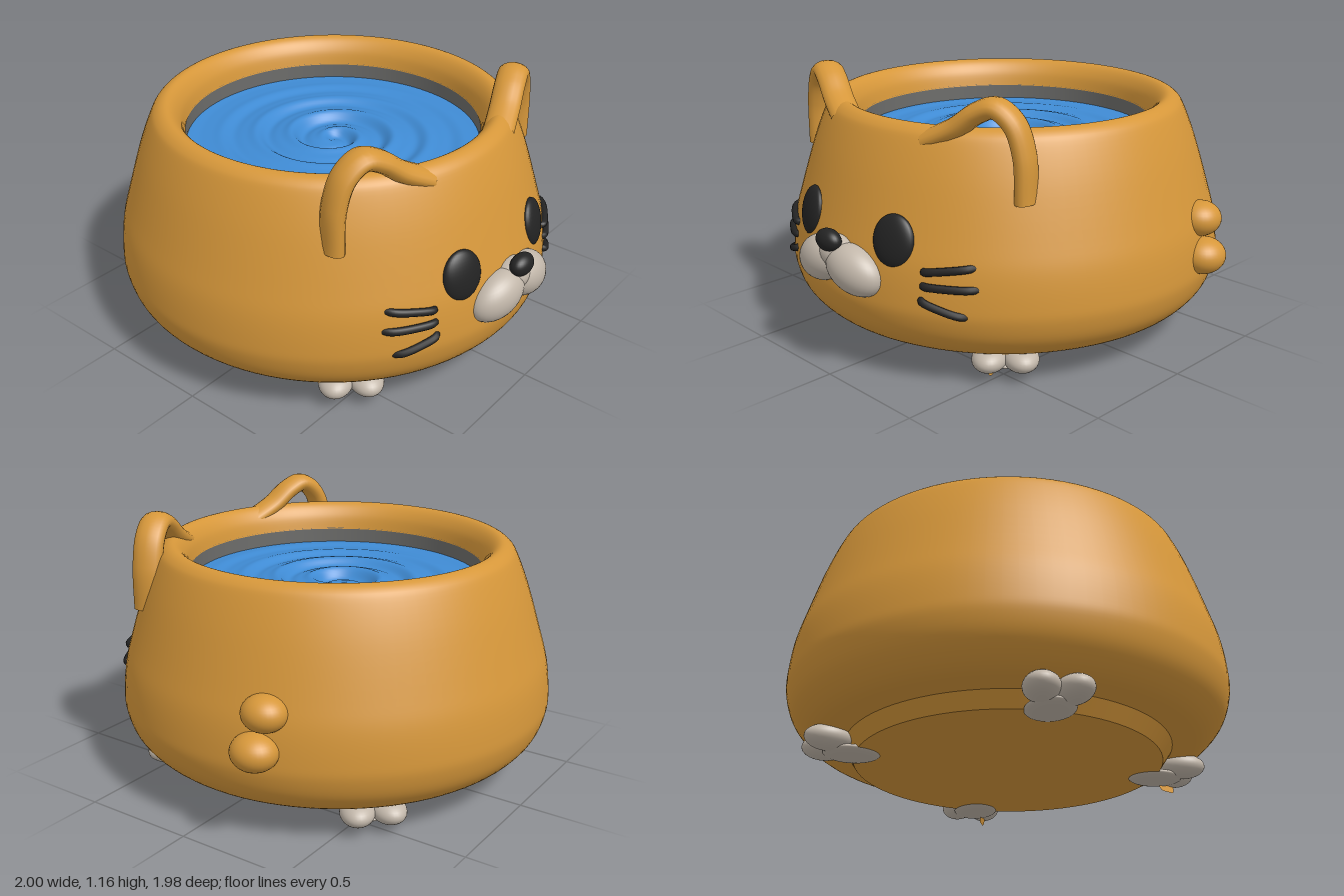
import * as THREE from 'three';
import { mergeVertices } from 'three/addons/utils/BufferGeometryUtils.js';

const mat = (name, color, side = THREE.FrontSide) =>
  Object.assign(new THREE.MeshStandardMaterial({ color, side }), { name });

// Axis of the bowl
const CX = -0.04, CZ = 0.03;

// Outer wall from the underside up to the rim (radius, height)
const WALL = [[0.62, 0.085], [0.76, 0.087], [0.85, 0.115], [0.925, 0.19], [0.958, 0.28], [0.96, 0.36],
  [0.945, 0.48], [0.912, 0.6], [0.85, 0.8], [0.795, 0.94], [0.765, 0.985]];
// Rim roll and inside lip
const RIM = [[0.725, 1.002], [0.69, 0.985], [0.66, 0.94], [0.645, 0.88]];

// Point on the wall at a given height and sideways offset, pushed out by lift
function onWall(y, dz, lift = 0) {
  let r = WALL[0][0];
  for (let i = 1; i < WALL.length; i++) {
    const [r0, y0] = WALL[i - 1], [r1, y1] = WALL[i];
    if (y >= y0 && y <= y1) r = r0 + (r1 - r0) * (y - y0) / (y1 - y0);
  }
  r += lift;
  return new THREE.Vector3(Math.sqrt(r * r - dz * dz), y, dz);
}

export function createModel() {
  const orange = mat('orange', 0xd6973a);
  const cream = mat('paleGrey', 0xc2b7aa);
  const black = mat('black', 0x232323);
  const pink = mat('pink', 0xd39484, THREE.DoubleSide);
  const blue = mat('waterBlue', 0x3f8bd4);
  const steel = mat('steelGrey', 0x6c6c6a);

  const model = new THREE.Group();
  model.name = 'catBowl';
  const bowl = new THREE.Group();
  bowl.name = 'bowl';
  bowl.position.set(CX, 0, CZ);
  model.add(bowl);

  const add = (name, geo, material, parent = bowl) => {
    const m = new THREE.Mesh(geo, material);
    m.name = name;
    parent.add(m);
    return m;
  };
  const blob = (name, material, pos, radii, parent = bowl) => {
    const m = add(name, new THREE.SphereGeometry(1, 32, 20), material, parent);
    m.position.set(...pos);
    m.scale.set(...radii);
    return m;
  };
  const v2 = (p) => new THREE.Vector2(p[0], p[1]);

  // Body shell with rolled rim
  const profile = new THREE.SplineCurve([...WALL, ...RIM].map(v2)).getPoints(70);
  add('body', new THREE.LatheGeometry(profile, 96), orange);

  // Steel liner showing above the water
  add('liner', new THREE.LatheGeometry([[0.646, 0.885], [0.646, 0.77]].map(v2), 96), steel);

  // Foot under the body
  add('base', new THREE.CylinderGeometry(0.71, 0.66, 0.075, 96), orange).position.y = 0.0575;

  // Water with a spiral swirl
  let water = new THREE.RingGeometry(0.0005, 0.65, 120, 70).rotateX(-Math.PI / 2);
  water.deleteAttribute('uv');
  water.deleteAttribute('normal');
  water = mergeVertices(water, 1e-6);
  const wp = water.attributes.position;
  for (let i = 0; i < wp.count; i++) {
    const x = wp.getX(i), z = wp.getZ(i), r = Math.hypot(x, z);
    const phase = r / 0.155 * Math.PI * 2 - Math.atan2(z, x) + 2.2;
    const fade = Math.min(1, r / 0.08) * Math.max(0, 1 - r / 0.66);
    const swirl = 0.022 * fade * (Math.sin(phase) + 0.3 * Math.sin(2 * phase));
    wp.setY(i, 0.815 + swirl - 0.03 * Math.exp(-r * r / 0.03));
  }
  water.computeVertexNormals();
  add('water', water, blue);

  // Ears: backing, thick rounded border and inner skin
  const border = [[-0.155, 0.74], [-0.148, 0.92], [-0.105, 1.04], [-0.03, 1.093],
    [0.045, 1.068], [0.14, 1.0], [0.26, 0.94]];
  for (const s of [1, -1]) {
    const ear = new THREE.Group();
    ear.name = s > 0 ? 'leftSideEar' : 'rightSideEar';
    ear.position.set(0.59, 0, s * 0.5);
    ear.rotation.y = Math.PI / 2 - s * 0.37;
    bowl.add(ear);
    const curve = new THREE.CatmullRomCurve3(border.map(([u, y]) => new THREE.Vector3(u * s, y, 0)));
    const shape = new THREE.Shape([...curve.getPoints(40).map(v2), new THREE.Vector2(0.2 * s, 0.8)]);
    add('earBorder', new THREE.TubeGeometry(curve, 48, 0.043, 16).scale(1, 1, 1.55), orange, ear);
    add('earBack', new THREE.ExtrudeGeometry(shape, {
      depth: 0.05, bevelSize: 0.015, bevelThickness: 0.02, bevelSegments: 4,
    }).translate(0, 0, -0.055), orange, ear);
    add('earInner', new THREE.ShapeGeometry(shape).translate(0, 0, 0.03), pink, ear);
  }

  for (const s of [1, -1]) {
    // Eye
    const p = onWall(0.575, 0.265 * s, -0.005);
    const eye = blob('eye', black, p.toArray(), [0.093, 0.106, 0.035]);
    eye.rotation.set(-0.2, Math.PI / 2 - s * 0.29, 0, 'YXZ');

    // Muzzle lobe
    const lobe = blob('muzzleLobe', cream, [0.945, 0.43, s * 0.105], [0.088, 0.098, 0.14]);
    lobe.rotation.set(s * 0.32, s * -0.16, 0);

    // Whiskers, ends sunk into the wall
    for (const [zo, yo, zi, yi] of [[0.57, 0.507, 0.4, 0.478], [0.59, 0.425, 0.4, 0.425], [0.56, 0.312, 0.4, 0.37]]) {
      const at = (t, lift) => onWall(yo + (yi - yo) * t, s * (zo + (zi - zo) * t), lift);
      const path = new THREE.CatmullRomCurve3([at(0, -0.018), at(0.1, 0.004), at(0.5, 0.01), at(0.9, 0.004), at(1, -0.018)]);
      add('whisker', new THREE.TubeGeometry(path, 24, 0.016, 10), black);
    }
  }
  blob('muzzleBridge', cream, [0.945, 0.48, 0], [0.075, 0.07, 0.09]);
  blob('nose', black, [0.99, 0.54, 0], [0.042, 0.047, 0.066]);

  // Stubby two-lobed tail
  blob('tailLower', orange, [-0.25, 0.39, -0.925], [0.1, 0.078, 0.095]);
  blob('tailUpper', orange, [-0.27, 0.54, -0.885], [0.095, 0.075, 0.09]);

  // Paws on the diagonals, toes pointing outwards
  for (let i = 0; i < 4; i++) {
    const paw = new THREE.Group();
    paw.name = 'paw';
    paw.rotation.y = Math.PI / 4 + i * Math.PI / 2;
    bowl.add(paw);
    for (const s of [1, -1]) {
      const toe = blob('toe', cream, [0.775, 0.064, s * 0.062], [0.1, 0.053, 0.074], paw);
      toe.rotation.y = -s * 0.2;
    }
    blob('sole', cream, [0.67, 0.024, 0], [0.12, 0.024, 0.1], paw);
  }
  return model;
}
